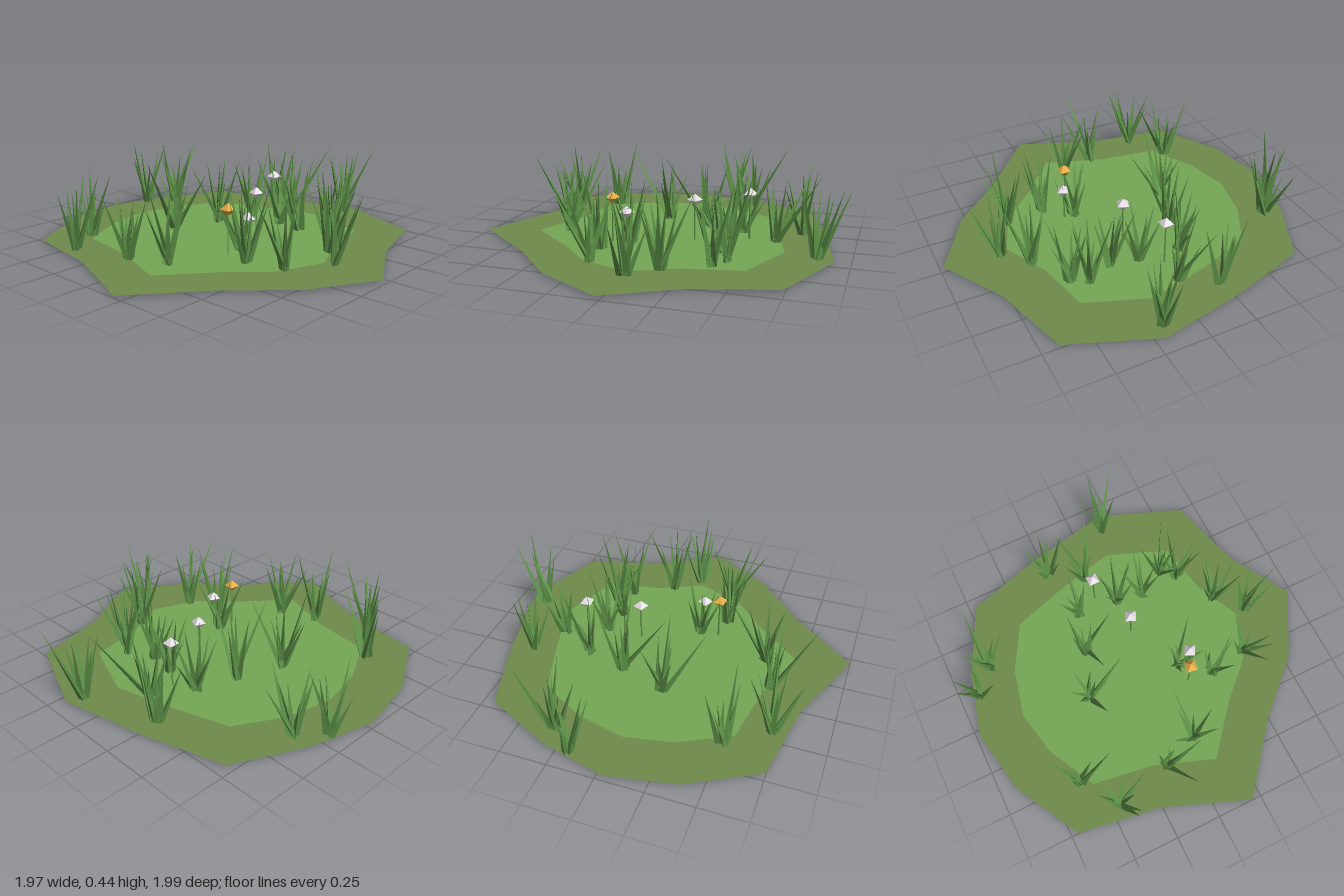
import * as THREE from 'three';
import { mergeGeometries } from 'three/addons/utils/BufferGeometryUtils.js';

const paint = (name, color, extra = {}) => {
  const m = new THREE.MeshStandardMaterial({ color, flatShading: true, ...extra });
  m.name = name;
  return m;
};

// Ground outlines as x, z
const OUTER = [[0.2, -0.92], [0.66, -0.74], [0.78, -0.32], [0.98, 0.03], [0.78, 0.38], [0.5, 0.64], [0.2, 1],
  [-0.26, 0.82], [-0.71, 0.75], [-0.91, 0.39], [-0.98, 0.03], [-0.89, -0.32], [-0.71, -0.69], [-0.28, -0.82]];
const INNER = [[0.12, -0.66], [0.46, -0.53], [0.52, -0.23], [0.64, 0.02], [0.54, 0.28], [0.35, 0.46], [0.13, 0.72],
  [-0.2, 0.6], [-0.53, 0.55], [-0.67, 0.28], [-0.72, 0.03], [-0.66, -0.23], [-0.52, -0.48], [-0.2, -0.58]];

// Grass tufts: base x, z, then the horizontal reach (x, z) of the two longest blades
const TUFTS = [
  [0.17, -0.83, 0, -0.16, 0.13, -0.13],
  [-0.24, -0.7, -0.11, -0.03, 0.12, -0.01],
  [-0.06, -0.59, 0.13, -0.24, -0.1, -0.16],
  [-0.18, -0.38, 0, -0.15, -0.1, 0.05],
  [-0.78, -0.31, 0, -0.22, 0.14, -0.02],
  [-0.89, -0.18, 0.06, -0.11, -0.01, 0.1],
  [-0.25, -0.16, 0.02, 0.25, 0.17, 0],
  [-0.34, 0.1, 0.02, 0.23, 0.22, -0.03],
  [-0.59, 0.51, 0.19, 0, -0.1, -0.08],
  [-0.45, 0.71, 0.17, -0.03, 0.05, 0.14],
  [-0.13, 0.63, 0.06, 0.21, 0.18, 0.02],
  [0.08, 0.56, -0.05, -0.21, -0.16, 0.03],
  [0.34, 0.27, -0.03, 0.1, 0.11, -0.05],
  [0.19, 0.15, 0.1, -0.12, -0.1, 0.07],
  [0.55, 0.23, 0, 0.21, 0.1, 0.12],
  [0.69, 0, 0.14, -0.01, 0.06, -0.11],
  [0.56, -0.13, -0.01, -0.17, 0.12, 0.06],
  [0.35, -0.42, 0.07, -0.13, 0.03, 0.16],
  [0.43, -0.35, -0.02, -0.11, 0.1, 0.07],
  [0.2, -0.34, 0, -0.14, -0.12, -0.05],
  [0.05, -0.37, 0.02, -0.11, 0.11, -0.04],
];

// Small seeded generator, 0 to 1
let seed = 1;
function rand() {
  seed = (seed * 16807) % 2147483647;
  return seed / 2147483647;
}

// One pointed three-sided blade, rooted near the tuft centre, its tip dx, dz away from it
function blade(dx, dz, height) {
  const a = rand() * Math.PI * 2, r = rand() * 0.024;
  const bx = Math.cos(a) * r, bz = Math.sin(a) * r;
  const g = new THREE.ConeGeometry(0.02, height, 3);
  g.rotateY(rand() * Math.PI * 2);
  g.translate(0, height / 2, 0);
  const p = g.attributes.position;
  for (let i = 0; i < p.count; i++) {
    const t = p.getY(i) / height;
    p.setX(i, p.getX(i) + bx + (dx - bx) * t);
    p.setZ(i, p.getZ(i) + bz + (dz - bz) * t);
  }
  return g;
}

function tuftGeometry(ax, az, bx, bz) {
  const blades = [blade(ax, az, 0.38 + rand() * 0.06), blade(bx, bz, 0.3 + rand() * 0.12)];
  const start = Math.atan2(az, ax), n = 6;
  for (let i = 0; i < n; i++) {
    const a = start + ((i + 0.5 + (rand() - 0.5) * 0.9) / n) * Math.PI * 2;
    const reach = 0.04 + rand() * 0.1;
    blades.push(blade(Math.cos(a) * reach, Math.sin(a) * reach, 0.22 + rand() * 0.18));
  }
  return mergeGeometries(blades);
}

export function createModel() {
  seed = 4711;
  const model = new THREE.Group();
  model.name = 'grassPatch';
  const both = { side: THREE.DoubleSide };
  const edgeGreen = paint('olive ground', 0x6e8b4c, both);
  const lawnGreen = paint('lawn green', 0x75a755, both);
  const grass = paint('grass green', 0x5e9348);
  const white = paint('pale petal', 0xeee6ee);
  const orange = paint('orange petal', 0xe8b04a);

  const add = (name, geo, mat, parent = model) => {
    const m = new THREE.Mesh(geo, mat);
    m.name = name;
    parent.add(m);
    return m;
  };

  // Flat ground: outer rim around an inner lawn
  const toPoints = (list) => list.map(([x, z]) => new THREE.Vector2(x, -z));
  const rim = new THREE.Shape(toPoints(OUTER));
  rim.holes.push(new THREE.Path(toPoints(INNER)));
  const lay = (shape) => new THREE.ShapeGeometry(shape).rotateX(-Math.PI / 2).translate(0, 0.01, 0);
  add('groundRim', lay(rim), edgeGreen);
  add('lawn', lay(new THREE.Shape(toPoints(INNER))), lawnGreen);

  // Grass tufts
  for (const [x, z, ...reaches] of TUFTS) {
    add('grassTuft', tuftGeometry(...reaches), grass).position.set(x, 0, z);
  }

  // Flowers: faceted heads on thin stems
  const flowers = [[-0.06, 0.26, -0.44, white], [0.04, 0.23, -0.16, white],
    [0.25, 0.19, 0.15, white], [0.2, 0.25, 0.25, orange]];
  for (const [x, y, z, petal] of flowers) {
    const flower = new THREE.Group();
    flower.name = 'flower';
    flower.position.set(x, 0, z);
    add('stem', new THREE.CylinderGeometry(0.004, 0.005, y, 4).translate(0, y / 2, 0), grass, flower);
    const head = add('flowerHead', new THREE.OctahedronGeometry(0.042), petal, flower);
    head.scale.y = 0.8;
    head.rotation.y = rand();
    head.position.y = y;
    model.add(flower);
  }
  return model;
}
